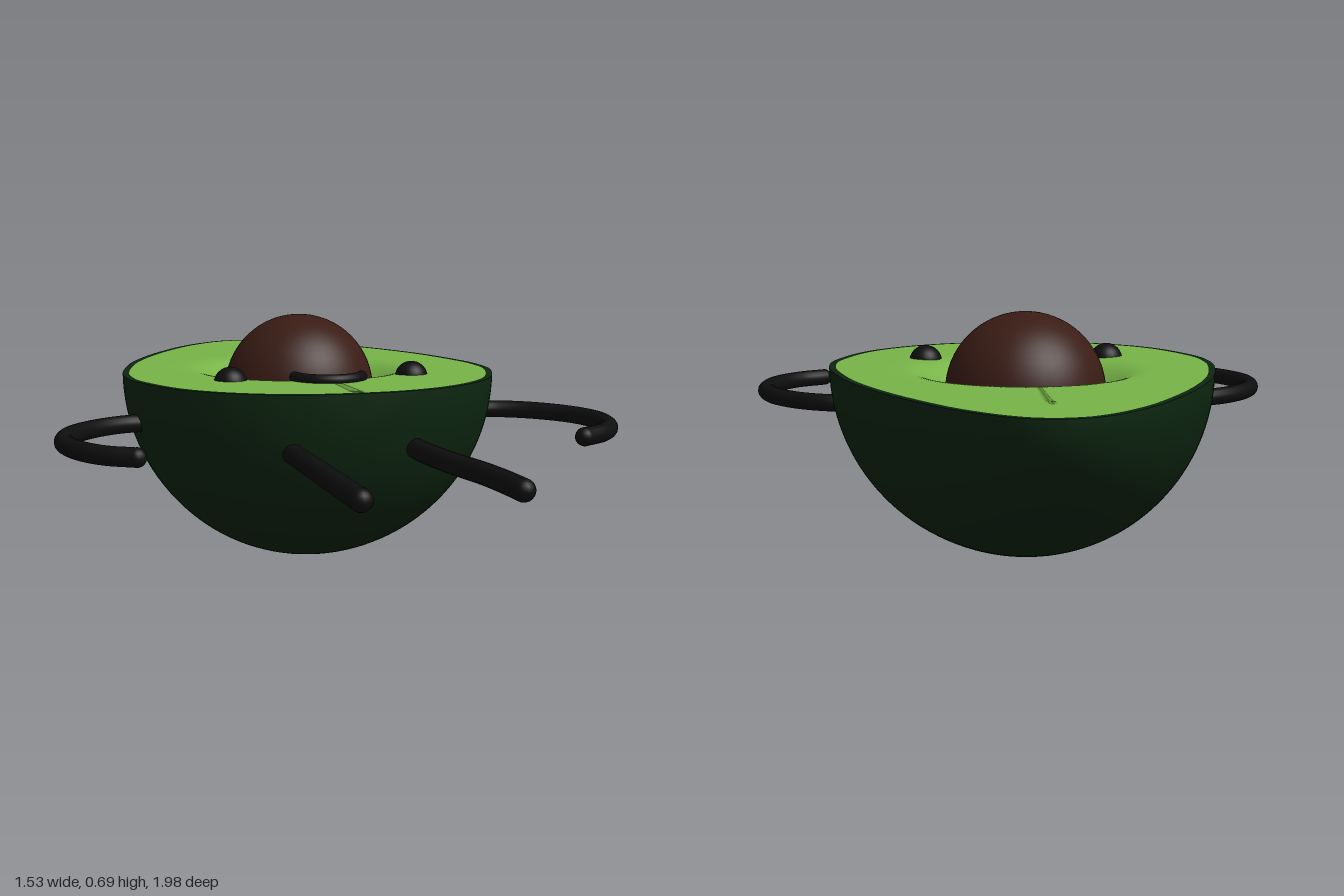
import * as THREE from 'three';
import { ParametricGeometry } from 'three/addons/geometries/ParametricGeometry.js';

const TOP = 0.535; // height of the cut face
const SEED = new THREE.Vector3(0, 0.47, -0.18);
const SEED_R = 0.22;

const paint = (color) => new THREE.MeshStandardMaterial({ color, roughness: 0.9 });

export function createModel() {
  const model = new THREE.Group();
  const skinMat = paint(0x0d2610);
  const fleshMat = paint(0x78b548);
  const seedMat = paint(0x3a1c15);
  const blackMat = paint(0x0e0e0e);

  const add = (name, geometry, material, parent = model) => {
    const mesh = new THREE.Mesh(geometry, material);
    mesh.name = name;
    parent.add(mesh);
    return mesh;
  };

  // Pear-shaped half profile: radius against z, from narrow end to wide end
  const profile = new THREE.SplineCurve([
    [0, -0.99], [0.06, -0.981], [0.12, -0.948], [0.19, -0.885], [0.27, -0.785],
    [0.38, -0.6], [0.468, -0.4], [0.52, -0.2], [0.533, -0.08], [0.52, 0.04],
    [0.455, 0.2], [0.37, 0.305], [0.25, 0.385], [0.12, 0.426], [0, 0.436],
  ].map(([r, z]) => new THREE.Vector2(r, z)));
  const outer = profile.getSpacedPoints(80);
  outer[0].x = outer[80].x = 0;

  // Half of a solid of revolution about z
  const skin = new THREE.LatheGeometry(outer, 64, -Math.PI / 2, Math.PI);
  skin.rotateX(Math.PI / 2).translate(0, TOP, 0);
  add('skin', skin, skinMat);

  // Outline all the way round, moved inwards by an inset
  const outline = (u, inset) => {
    const right = u <= 0.5;
    const t = Math.min(1, Math.max(0, right ? u * 2 : 2 - u * 2));
    const p = profile.getPointAt(t);
    const d = profile.getTangentAt(t);
    const atEnd = t < 1e-6 || t > 1 - 1e-6;
    const x = atEnd ? 0 : Math.max(0, p.x - d.y * inset);
    const z = atEnd ? p.y + (t < 0.5 ? inset : -inset) : p.y + d.x * inset;
    return [right ? x : -x, z];
  };

  // Thin dark rim around the cut
  const INSET = 0.018;
  add('skinRim', new ParametricGeometry((u, v, target) => {
    const [x, z] = outline(u, INSET * (1 - v));
    target.set(x, TOP, z);
  }, 160, 1), skinMat);

  // Cut face, dipping softly towards the seed
  add('flesh', new ParametricGeometry((u, v, target) => {
    const [ox, oz] = outline(u, INSET);
    const s = 0.15 + 0.85 * v;
    const x = ox * s;
    const z = SEED.z + (oz - SEED.z) * s;
    const away = Math.max(0, Math.hypot(x, z - SEED.z) - 0.19);
    const dip = 0.06 * Math.exp(-((away / 0.075) ** 2)) * (1 - v ** 8);
    target.set(x, TOP - dip, z);
  }, 160, 40), fleshMat);

  add('seed', new THREE.SphereGeometry(SEED_R, 48, 32), seedMat).position.copy(SEED);

  // Round-ended tube lying at one height, through [x, z] points
  const limb = (name, points, y, radius) => {
    const group = new THREE.Group();
    group.name = name;
    const path = points.map(([x, z]) => new THREE.Vector3(x, y, z));
    const curve = new THREE.CatmullRomCurve3(path);
    add(name + 'Tube', new THREE.TubeGeometry(curve, 48, radius, 16), blackMat, group);
    for (const end of [path[0], path[path.length - 1]]) {
      add(name + 'End', new THREE.SphereGeometry(radius, 16, 12), blackMat, group).position.copy(end);
    }
    model.add(group);
  };

  limb('leftArm', [[0.48, 0.015], [0.55, 0.03], [0.635, 0.085], [0.71, 0.185], [0.737, 0.3],
    [0.71, 0.42], [0.65, 0.5], [0.575, 0.547]], 0.415, 0.025);
  limb('rightArm', [[-0.48, 0.01], [-0.55, 0.02], [-0.635, 0.07], [-0.715, 0.17], [-0.74, 0.285],
    [-0.712, 0.4], [-0.66, 0.48], [-0.592, 0.527]], 0.415, 0.025);
  limb('leftLeg', [[0.165, 0.33], [0.165, 0.46], [0.178, 0.6], [0.205, 0.76], [0.215, 0.88],
    [0.217, 0.966]], 0.378, 0.028);
  limb('rightLeg', [[-0.168, 0.33], [-0.168, 0.65], [-0.168, 0.966]], 0.378, 0.028);

  // Face
  for (const [name, side] of [['leftEye', 1], ['rightEye', -1]]) {
    add(name, new THREE.SphereGeometry(0.047, 24, 16), blackMat).position.set(side * 0.263, 0.524, 0.075);
  }
  limb('smile', [[-0.092, 0.12], [-0.083, 0.162], [-0.05, 0.2], [0, 0.215], [0.045, 0.203],
    [0.075, 0.178], [0.09, 0.153]], 0.542, 0.016);

  return model;
}
